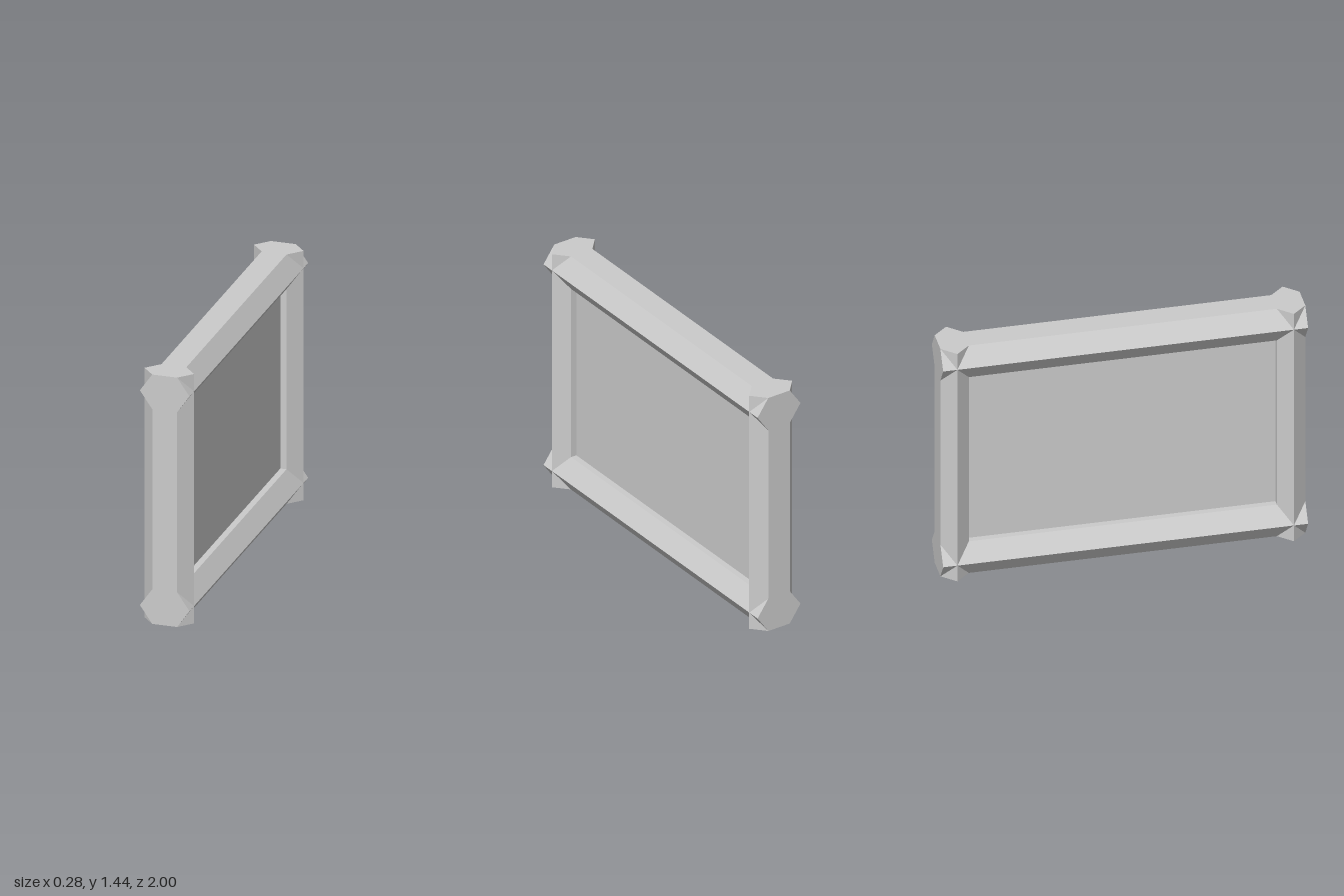
import * as THREE from 'three';

const LENGTH = 2, HEIGHT = 1.44;     // overall frame size along z and y
const RAIL = 0.2, POST = 0.156;      // width of rails and posts in the frame plane
const FLAT = 0.07, RIDGE = 0.14;     // half thickness at the edges and at the ridge

const material = new THREE.MeshStandardMaterial({ color: 0xcccccc, flatShading: true });

// Six-sided beam running along z, ridged on both broad sides, width measured along y
function beam(name, width, length) {
  const h = width / 2;
  const section = new THREE.Shape([
    [-FLAT, -h], [FLAT, -h], [RIDGE, 0], [FLAT, h], [-FLAT, h], [-RIDGE, 0],
  ].map(([x, y]) => new THREE.Vector2(x, y)));
  const geometry = new THREE.ExtrudeGeometry(section, { depth: length, bevelEnabled: false });
  geometry.translate(0, 0, -length / 2);
  const mesh = new THREE.Mesh(geometry, material);
  mesh.name = name;
  return mesh;
}

export function createModel() {
  const group = new THREE.Group();
  group.name = 'framedPanel';

  // Top and bottom rails, full length
  for (const [name, y] of [['bottomRail', RAIL / 2], ['topRail', HEIGHT - RAIL / 2]]) {
    const rail = beam(name, RAIL, LENGTH);
    rail.position.y = y;
    group.add(rail);
  }

  // End posts, full height, crossing the rails at the corners
  for (const [name, side] of [['frontPost', 1], ['backPost', -1]]) {
    const post = beam(name, POST, HEIGHT);
    post.rotation.x = -Math.PI / 2;
    post.position.set(0, HEIGHT / 2, side * (LENGTH - POST) / 2);
    group.add(post);
  }

  // Thin panel recessed between the beams
  const panel = new THREE.Mesh(
    new THREE.BoxGeometry(0.07, HEIGHT - RAIL, LENGTH - POST), material);
  panel.name = 'panel';
  panel.position.y = HEIGHT / 2;
  group.add(panel);

  return group;
}
